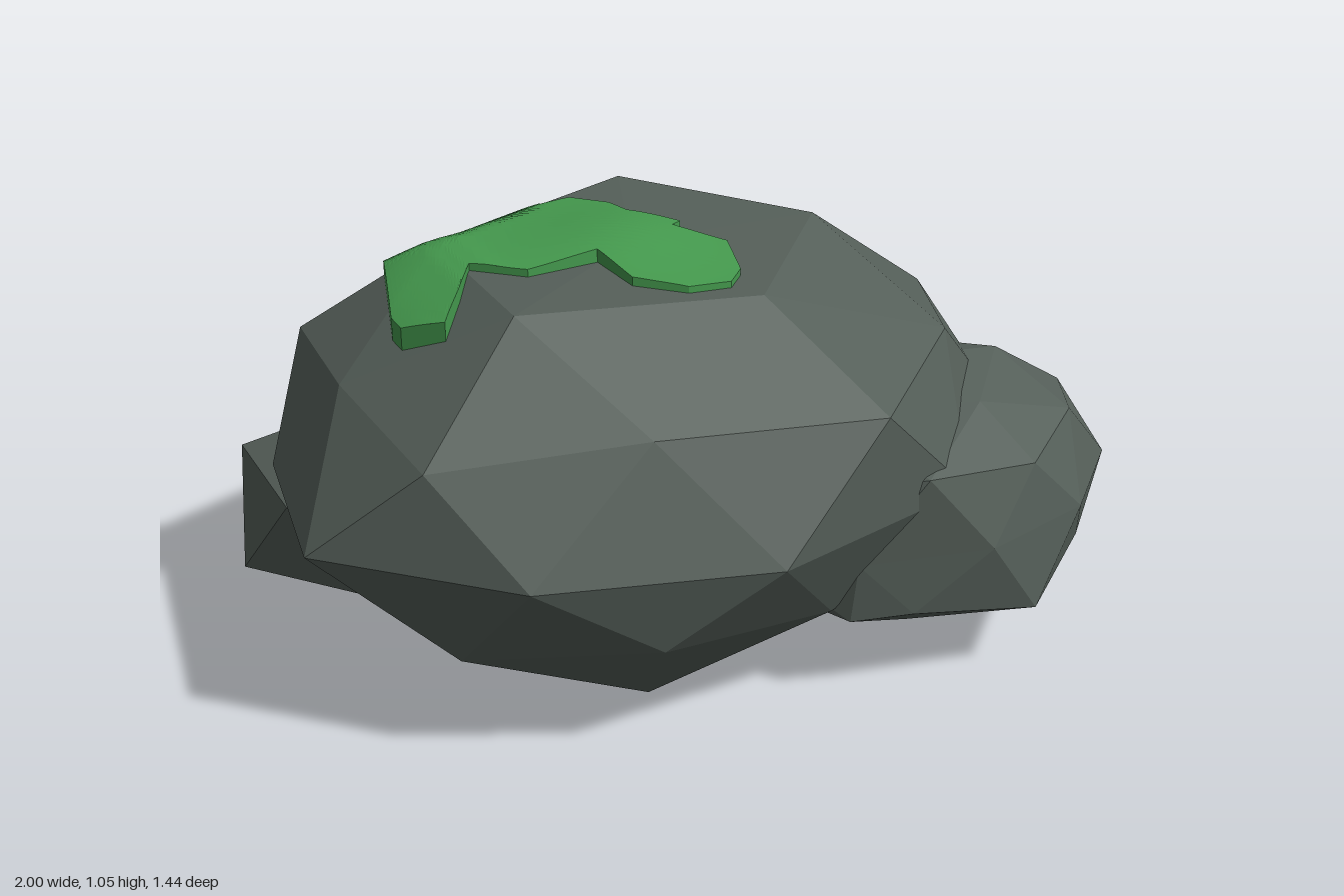
import * as THREE from 'three';

const stone = new THREE.MeshStandardMaterial({ color: 0x555f59, flatShading: true });
stone.name = 'grey green stone';
const green = new THREE.MeshStandardMaterial({ color: 0x459a4e, flatShading: true, side: THREE.DoubleSide });
green.name = 'moss green';

// Faceted ball with a corner at each pole, stretched; each chip pulls its nearest corner to itself
function rock(name, detail, size, centre, chips = []) {
  const geo = new THREE.IcosahedronGeometry(1, detail);
  geo.rotateZ(-Math.atan(2 / (1 + Math.sqrt(5))));
  geo.scale(...size);
  geo.translate(...centre);
  const pos = geo.attributes.position;
  const corners = Array.from({ length: pos.count }, (_, i) => new THREE.Vector3().fromBufferAttribute(pos, i));
  for (const chip of chips) {
    const target = new THREE.Vector3(...chip);
    const reach = Math.min(...corners.map((c) => c.distanceTo(target))) + 1e-4;
    corners.forEach((c, i) => {
      if (c.distanceTo(target) < reach) pos.setXYZ(i, ...chip);
    });
  }
  geo.computeVertexNormals();
  const mesh = new THREE.Mesh(geo, stone);
  mesh.name = name;
  return mesh;
}

// Moss: an outline in x/z draped softly over the rock, with a short wall around its edge
function moss(name, outline, base, swell) {
  const ray = new THREE.Raycaster();
  const down = new THREE.Vector3(0, -1, 0);
  const ground = (x, z) => {
    ray.set(new THREE.Vector3(x + 0.00013, 3, z + 0.00017), down);
    return ray.intersectObject(base)[0].point.y;
  };
  // mean ground height on a small ring rounds off the rock's ridges
  const soft = (x, z) => {
    let sum = 0;
    for (let i = 0; i < 8; i++) sum += ground(x + 0.05 * Math.cos(i * Math.PI / 4), z + 0.05 * Math.sin(i * Math.PI / 4));
    return sum / 8;
  };
  const pts = outline.map(([x, z]) => new THREE.Vector2(x, z));
  const out = [];
  const put = (p) => out.push(p.x, soft(p.x, p.y) + 0.014 + swell(p.x, p.y), p.y);
  const low = (p) => out.push(p.x, ground(p.x, p.y) - 0.01, p.y);
  const mid = (a, b) => a.clone().add(b).multiplyScalar(0.5);
  const split = (a, b, c, n) => {
    if (n === 0) return [a, b, c].forEach(put);
    const ab = mid(a, b), bc = mid(b, c), ca = mid(c, a);
    [[a, ab, ca], [ab, b, bc], [ca, bc, c], [ab, bc, ca]].forEach((t) => split(...t, n - 1));
  };
  // top skin, wound to face up
  for (const [i, j, k] of THREE.ShapeUtils.triangulateShape(pts, [])) {
    const [a, b, c] = [pts[i], pts[j], pts[k]];
    const area = (b.x - a.x) * (c.y - a.y) - (b.y - a.y) * (c.x - a.x);
    if (area > 0) split(a, c, b, 4);
    else split(a, b, c, 4);
  }
  // edge wall
  pts.forEach((p, i) => {
    const q = pts[(i + 1) % pts.length];
    for (let s = 0; s < 8; s++) {
      const a = p.clone().lerp(q, s / 8), b = p.clone().lerp(q, (s + 1) / 8);
      put(a); put(b); low(b);
      put(a); low(b); low(a);
    }
  });
  const geo = new THREE.BufferGeometry();
  geo.setAttribute('position', new THREE.Float32BufferAttribute(out, 3));
  geo.computeVertexNormals();
  const mesh = new THREE.Mesh(geo, green);
  mesh.name = name;
  return mesh;
}

export function createModel() {
  const group = new THREE.Group();
  group.name = 'mossyRocks';

  const main = rock('mainBoulder', 1, [0.94, 0.52, 0.72], [-0.1, 0.525, 0], [
    // middle ring
    [-1, 0.53, 0.21], [-0.63, 0.53, 0.575], [0.42, 0.53, -0.62], [0.8, 0.53, -0.27],
    [0.78, 0.53, 0.2], [-0.66, 0.53, -0.67], [-0.93, 0.53, -0.24],
    // upper corners
    [0.18, 0.8, 0.66], [-0.33, 0.81, 0.55], [0.52, 0.82, 0.35], [0.69, 0.77, -0.03],
    [0.16, 0.82, -0.62], [-0.82, 0.8, -0.03], [0.05, 1.02, -0.42], [0.05, 0.985, 0.33],
    [0.38, 1, -0.03], [-0.5, 1, 0.22], [-0.5, 1, -0.25], [-0.1, 1.01, -0.03],
    [0.48, 0.77, -0.35], [-0.78, 0.77, -0.44],
    // lower corners
    [-0.1, 0, -0.03], [-0.25, 0.045, 0.35], [-0.25, 0.1, -0.37], [0.3, 0.05, 0.2],
    [0.3, 0.05, -0.22], [-0.53, 0.11, -0.03], [-0.33, 0.32, 0.6], [-0.33, 0.235, -0.635],
    [-0.82, 0.3, -0.03], [-0.7, 0.25, 0.33], [-0.68, 0.26, -0.33], [0.55, 0.35, -0.37],
    [0.13, 0.26, 0.53], [0.13, 0.17, -0.51],
  ]);
  group.add(main);

  group.add(rock('frontLeftRock', 1, [0.525, 0.32, 0.42], [0.48, 0.39, 0.235], [
    [1, 0.4, 0.37], [1, 0.4, 0.09], [0.78, 0.4, 0.58], [0.48, 0.4, 0.66], [0.77, 0.4, -0.11],
    [0.31, 0.605, 0.635], [0.62, 0.56, 0.6], [0.83, 0.585, 0.44], [0.95, 0.55, 0.23],
    [0.63, 0.19, 0.635], [0.87, 0.24, 0.46], [0.96, 0.2, 0.22],
    [0.17, 0.23, 0.55], [0.31, 0.24, 0.6], [0.48, 0.71, 0.235], [0.75, 0.68, 0.235],
  ]));

  group.add(rock('backRightRock', 0, [0.39, 0.26, 0.34], [-0.65, 0.345, -0.325]));

  // top moss swells at its crown and overhangs at its outer end
  group.add(moss('topMoss', [
    [-0.69, -0.03], [-0.6, -0.33], [-0.4, -0.43], [-0.31, -0.5], [-0.24, -0.52], [-0.17, -0.5],
    [-0.17, -0.4], [-0.26, -0.33], [-0.13, -0.31], [-0.07, -0.22], [-0.06, -0.14], [0.03, -0.04],
    [0, -0.02], [0.09, 0.08], [0.05, 0.22], [0, 0.27], [-0.1, 0.26], [-0.2, 0.18],
    [-0.22, 0.04], [-0.39, 0.04], [-0.49, -0.06], [-0.55, 0.03], [-0.62, 0.12], [-0.69, 0.03],
  ], main, (x, z) => 0.028 * Math.exp(-25 * ((x + 0.13) ** 2 + (z + 0.04) ** 2))
    + 0.04 * THREE.MathUtils.smoothstep(-x, 0.4, 0.69)));

  group.add(moss('sideMoss', [
    [0.23, -0.37], [0.29, -0.38], [0.34, -0.28], [0.4, -0.16], [0.31, -0.24], [0.24, -0.31],
  ], main, () => 0));
  return group;
}
